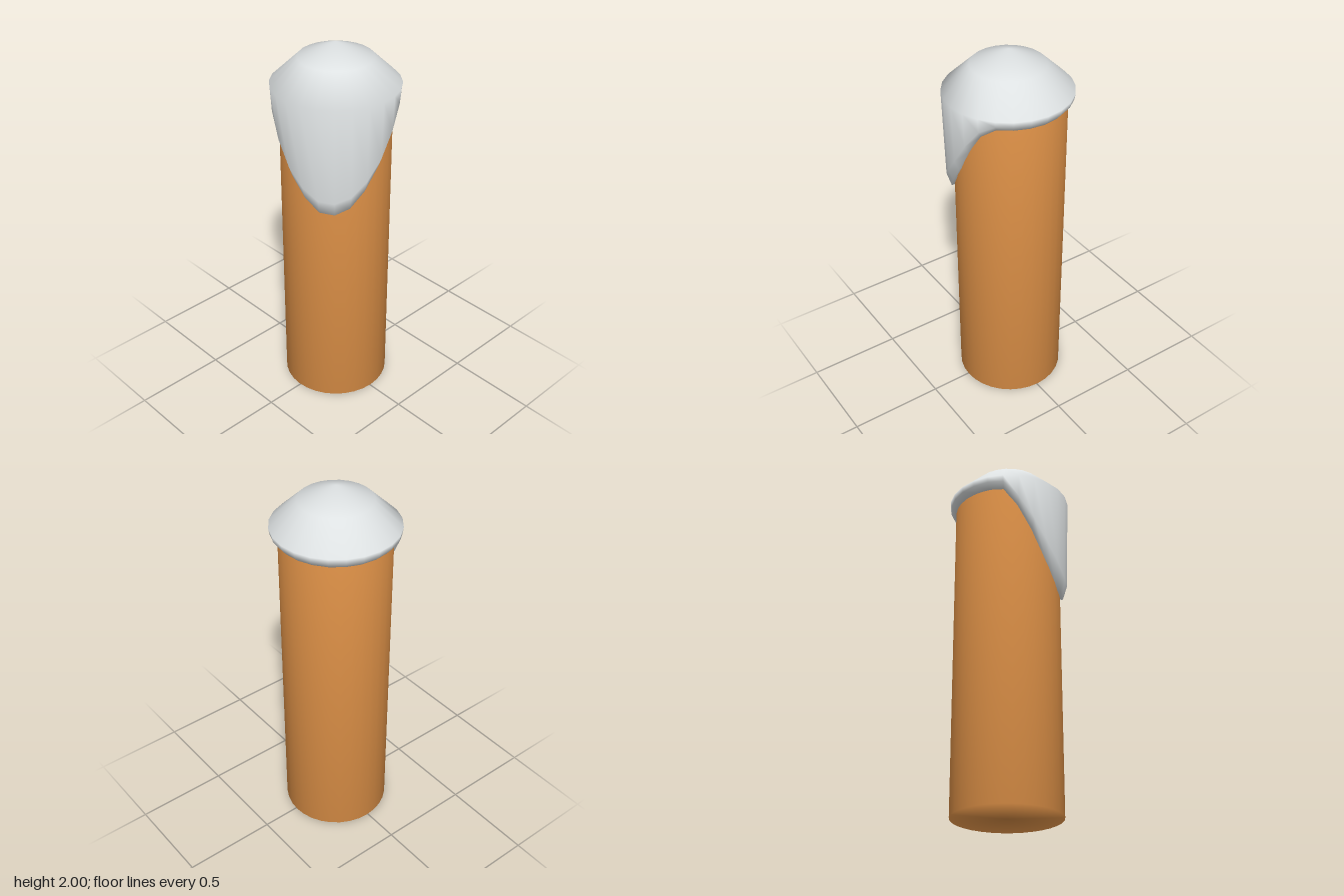
import * as THREE from 'three';

const SIDES = 24;
const wood = new THREE.MeshStandardMaterial({ color: 0xdb8f46 });
wood.name = 'wood';
const snow = new THREE.MeshStandardMaterial({ color: 0xdde1e2 });
snow.name = 'snow';

// Height of the snow's lower edge, by degrees away from the middle of the drip
const edgeCurve = [[0, 1.19], [12, 1.205], [20, 1.235], [30, 1.29], [45, 1.39], [60, 1.53], [72, 1.63], [84, 1.72], [90, 1.73], [180, 1.73]];
function edgeHeight(d) {
  for (let k = 1; k < edgeCurve.length; k++) {
    const [d0, y0] = edgeCurve[k - 1];
    const [d1, y1] = edgeCurve[k];
    if (d <= d1) return THREE.MathUtils.lerp(y0, y1, (d - d0) / (d1 - d0));
  }
  return 1.73;
}

// Snow cap: rings from the peak down to the rim, then a lip that follows the drip
function snowGeometry() {
  const rings = [
    () => [0.19, 1.925],
    () => [0.33, 1.79],
    (y, t) => [0.325 - 0.008 * t, y + 0.03 + 0.05 * t],
    (y, t) => [0.3 - 0.008 * t, y],
    (y) => [0.265, y + 0.01],
  ];
  const positions = [-0.005, 2, 0];
  const index = [];
  for (const ring of rings) {
    for (let i = 0; i < SIDES; i++) {
      const deg = (i * 360) / SIDES;
      const a = THREE.MathUtils.degToRad(deg);
      const offset = Math.abs(((deg - 41.5 + 540) % 360) - 180);
      const y = edgeHeight(offset);
      const t = (1.73 - y) / 0.54;
      const [r, h] = ring(y, t);
      positions.push(r * Math.sin(a) - 0.002, h, r * Math.cos(a));
    }
  }
  const at = (row, i) => 1 + row * SIDES + (i % SIDES);
  for (let i = 0; i < SIDES; i++) {
    index.push(0, at(0, i), at(0, i + 1));
    for (let row = 0; row < rings.length - 1; row++) {
      index.push(at(row, i), at(row + 1, i), at(row + 1, i + 1));
      index.push(at(row, i), at(row + 1, i + 1), at(row, i + 1));
    }
  }
  const geometry = new THREE.BufferGeometry();
  geometry.setAttribute('position', new THREE.Float32BufferAttribute(positions, 3));
  geometry.setIndex(index);
  geometry.computeVertexNormals();
  return geometry;
}

export function createModel() {
  const model = new THREE.Group();
  model.name = 'snowyPost';

  // Round post with softly shaded ends
  const profile = [[0, 0], [0.286, 0], [0.286, 1.76], [0, 1.76]].map(([r, y]) => new THREE.Vector2(r, y));
  const post = new THREE.Mesh(new THREE.LatheGeometry(profile, 32), wood);
  post.name = 'post';
  post.position.set(-0.009, 0, -0.006);

  const cap = new THREE.Mesh(snowGeometry(), snow);
  cap.name = 'snowCap';

  model.add(post, cap);
  return model;
}
